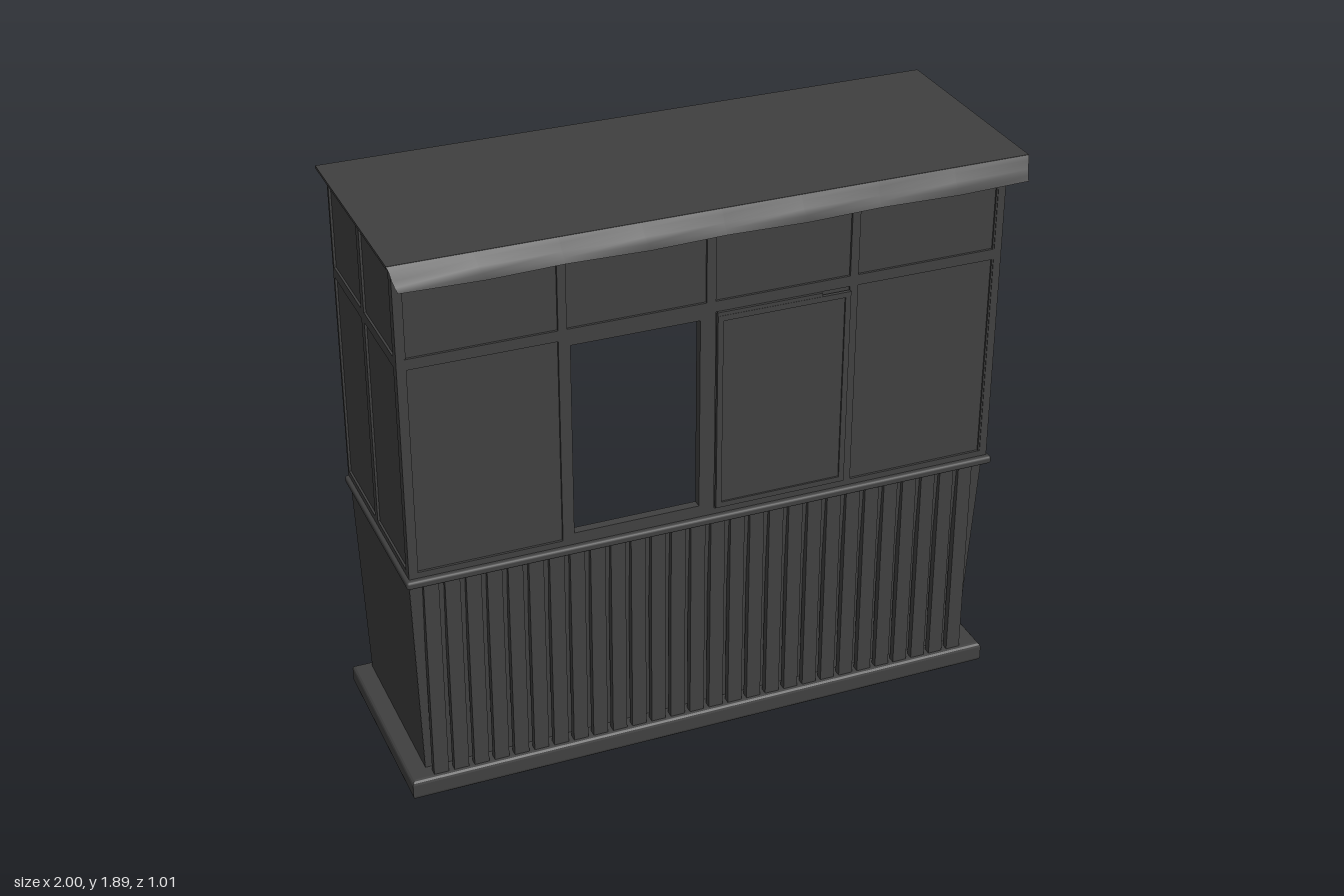
import * as THREE from 'three';
import { RoundedBoxGeometry } from 'three/addons/geometries/RoundedBoxGeometry.js';

const charcoal = new THREE.MeshStandardMaterial({ color: 0x404040, side: THREE.DoubleSide });
charcoal.name = 'charcoal';

export function createModel() {
  const booth = new THREE.Group();
  booth.name = 'ticketBooth';

  const add = (name, geometry, parent = booth) => {
    const mesh = new THREE.Mesh(geometry, charcoal);
    mesh.name = name;
    parent.add(mesh);
    return mesh;
  };

  // Box given by its limits; a radius rounds the edges
  const box = (name, [x0, x1], [y0, y1], [z0, z1], radius = 0, parent = booth) => {
    const size = [x1 - x0, y1 - y0, z1 - z0];
    const g = radius ? new RoundedBoxGeometry(...size, 2, radius) : new THREE.BoxGeometry(...size);
    g.translate((x0 + x1) / 2, (y0 + y1) / 2, (z0 + z1) / 2);
    return add(name, g, parent);
  };

  // Flat board with rectangular holes, each [u0, u1, v0, v1]
  const board = ([u0, u1, v0, v1], holes, depth) => {
    const corners = (a, b, c, d) => [[a, c], [b, c], [b, d], [a, d]].map(p => new THREE.Vector2(...p));
    const shape = new THREE.Shape(corners(u0, u1, v0, v1));
    for (const h of holes) shape.holes.push(new THREE.Path(corners(...h).reverse()));
    return new THREE.ExtrudeGeometry(shape, { depth, bevelEnabled: false });
  };

  // Floor slab with the door step at the back
  const outline = [[-1, -0.37], [1, -0.37], [1, 0.31], [0.605, 0.31], [0.605, 0.505],
    [0.065, 0.505], [0.065, 0.31], [-1, 0.31]];
  const bevel = 0.014;
  const slab = new THREE.ExtrudeGeometry(new THREE.Shape(outline.map(p => new THREE.Vector2(...p))), {
    depth: 0.07 - 2 * bevel, bevelSize: bevel, bevelThickness: bevel, bevelOffset: -bevel, bevelSegments: 3,
  });
  slab.rotateX(-Math.PI / 2).translate(0, bevel, 0);
  add('floorSlab', slab);

  // Lower walls lean inwards towards the floor
  const lean = (mesh, axis, amount) => {
    const p = mesh.geometry.attributes.position;
    for (let i = 0; i < p.count; i++) {
      const t = (0.79 - p.getY(i)) / 0.72;
      if (axis.includes('x')) p.setX(i, p.getX(i) - Math.sign(p.getX(i)) * 0.026 * t);
      if (axis.includes('z')) p.setZ(i, p.getZ(i) - (p.getZ(i) > 0 ? amount : -0.007) * t);
    }
    mesh.geometry.computeVertexNormals();
  };
  lean(box('lowerFrontWall', [-0.965, 0.965], [0.07, 0.79], [0.315, 0.342]), 'xz', 0.033);
  for (const s of [-1, 1]) {
    const xs = s > 0 ? [0.94, 0.966] : [-0.966, -0.94];
    lean(box('lowerSideWall', xs, [0.07, 0.79], [-0.287, 0.341]), 'xz', 0.033);
  }

  // Vertical cladding slats
  const slats = new THREE.Group();
  slats.name = 'frontSlats';
  booth.add(slats);
  const count = 28, pitch = 1.868 / count;
  for (let i = 0; i < count; i++) {
    const x = -0.934 + (i + 0.5) * pitch;
    box('slat', [x - 0.024, x + 0.024], [0.07, 0.79], [0.33, 0.354], 0, slats);
  }

  // Moulded rails around the waist and under the roof
  for (const [name, y0, y1] of [['waistRail', 0.788, 0.815], ['roofRail', 1.862, 1.886]]) {
    box(name + 'Front', [-0.982, 0.982], [y0, y1], [0.29, 0.38], 0.009);
    for (const xs of [[-0.982, -0.925], [0.925, 0.982]]) {
      box(name + 'Side', xs, [y0, y1], [-0.296, 0.38], 0.009);
    }
  }

  // Upper front wall: frame with four bays, the second one an open window
  const opening = [-0.445, -0.035, 0.855, 1.5];
  const frontBays = [];
  [[-0.945, -0.482], [-0.455, -0.015], [0.015, 0.455], [0.482, 0.945]].forEach(([a, b], i) => {
    frontBays.push([a, b, 1.555, 1.842]);
    frontBays.push(i === 1 ? opening : [a, b, 0.835, 1.52]);
  });
  add('upperFrontFrame', board([-0.97, 0.97, 0.81, 1.87], frontBays, 0.03).translate(0, 0, 0.332));
  add('upperFrontPanels', board([-0.96, 0.96, 0.81, 1.87], [opening], 0.016).translate(0, 0, 0.338));

  // Upper side walls: frame with two by two bays
  const sideBays = [];
  for (const [a, b] of [[-0.28, 0.01], [0.04, 0.335]]) {
    sideBays.push([a, b, 0.835, 1.522], [a, b, 1.556, 1.842]);
  }
  const sideLimits = [-0.293, 0.36, 0.81, 1.87];
  for (const s of [-1, 1]) {
    const place = (g, x) => g.rotateY(-Math.PI / 2).translate(x, 0, 0);
    add('upperSideFrame', place(board(sideLimits, sideBays, 0.03), s > 0 ? 0.97 : -0.94));
    add('upperSidePanel', place(board(sideLimits, [], 0.016), s * 0.955 + 0.008));
  }

  // Sliding shutter beside the window, with its track
  const leaf = [0.018, 0.455, 0.84, 1.508];
  add('shutterFrame', board(leaf, [[0.036, 0.437, 0.858, 1.49]], 0.012).translate(0, 0, 0.36));
  add('shutterPanel', board(leaf, [], 0.006).translate(0, 0, 0.36));
  box('shutterTrack', [0.018, 0.36], [1.508, 1.52], [0.36, 0.371]);

  // Thin roof sheet
  box('roofSheet', [-1, 1], [1.881, 1.89], [-0.298, 0.43]);

  // Curled canopy edge with four scallops
  const profile = [[0.43, 1.889], [0.441, 1.875], [0.449, 1.852], [0.46, 1.836], [0.472, 1.823]];
  const columns = 8;
  const lip = new THREE.PlaneGeometry(2, 1, columns, profile.length - 1);
  const p = lip.attributes.position;
  for (let i = 0; i < p.count; i++) {
    const row = Math.floor(i / (columns + 1)), col = i % (columns + 1);
    const t = row / (profile.length - 1);
    const bulge = (col % 2) * t * t;
    const [z, y] = profile[row];
    p.setXYZ(i, (-1 + col * 2 / columns) * (1 - 0.018 * t), y + 0.011 * bulge, z + 0.032 * bulge);
  }
  lip.computeVertexNormals();
  add('canopyLip', lip);

  return booth;
}
